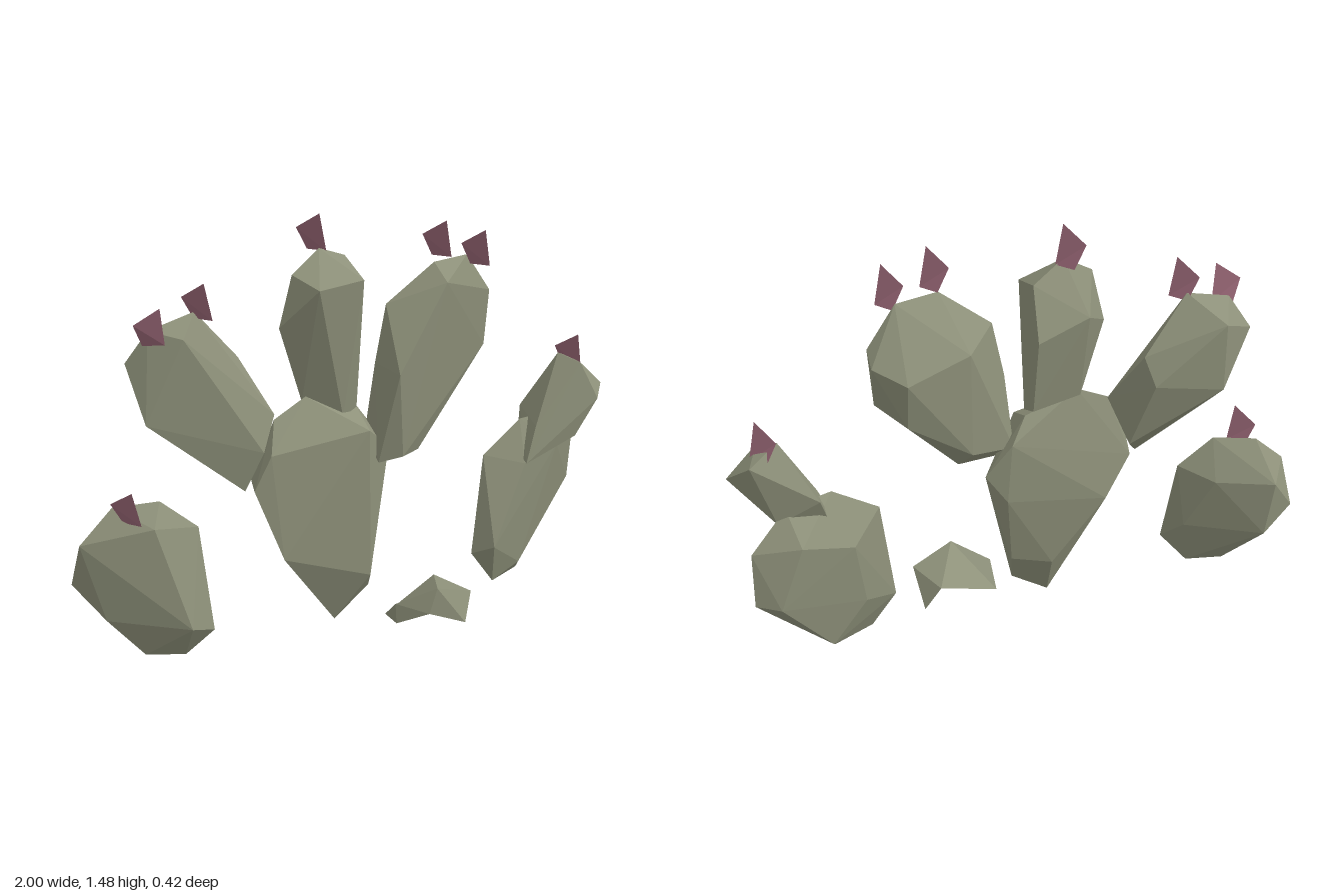
import * as THREE from 'three';
import { ConvexGeometry } from 'three/addons/geometries/ConvexGeometry.js';

const padGreen = new THREE.MeshStandardMaterial({ color: 0x8e917a, flatShading: true, side: THREE.DoubleSide });
padGreen.name = 'dusty green';
const flowerPink = new THREE.MeshStandardMaterial({ color: 0x9a6877, flatShading: true, side: THREE.DoubleSide });
flowerPink.name = 'dusty pink';

// Faceted cactus pad: the hull of a few corner points
function pad(name, points) {
  const mesh = new THREE.Mesh(new ConvexGeometry(points.map((p) => new THREE.Vector3(...p))), padGreen);
  mesh.name = name;
  return mesh;
}

// Thin open sheet from corners and triangles
function sheet(name, corners, faces, material) {
  const indexed = new THREE.BufferGeometry();
  indexed.setAttribute('position', new THREE.Float32BufferAttribute(corners.flat(), 3));
  indexed.setIndex(faces.flat());
  const geometry = indexed.toNonIndexed();
  geometry.computeVertexNormals();
  const mesh = new THREE.Mesh(geometry, material);
  mesh.name = name;
  return mesh;
}

// Pointed, slightly bent petal rising from its base corner
function flower(name, x, y, z, turn = 0, size = 1) {
  const mesh = sheet(name,
    [[0, 0, 0], [-0.045, 0, -0.055], [-0.085, 0.077, -0.05], [-0.03, 0.13, 0.015]],
    [[0, 2, 1], [0, 3, 2]], flowerPink);
  mesh.position.set(x, y, z);
  mesh.rotation.y = turn;
  mesh.scale.setScalar(size);
  return mesh;
}

export function createModel() {
  const cactus = new THREE.Group();
  cactus.name = 'cactus';

  // Trunk pad, flat in front and tapering to the ground
  cactus.add(pad('trunkPad', [
    [-0.41, 0.58, 0.03], [-0.35, 0.7, 0.04], [0, 0.74, 0.065], [0.005, 0.19, 0.06], [-0.32, 0.32, 0.06],
    [-0.31, 0.8, -0.03], [-0.19, 0.86, -0.04], [0, 0.8, -0.06], [0.06, 0.72, -0.11], [0.15, 0.6, -0.09],
    [-0.38, 0.58, -0.08], [-0.28, 0.44, -0.12], [0.08, 0.5, -0.12], [-0.09, 0.185, -0.1],
    [0.055, 0.22, -0.08], [0.04, 0.1, -0.03], [-0.1, 0, -0.02],
  ]));

  // Three pads growing from the trunk
  cactus.add(pad('upperRightPad', [
    [-0.71, 1.15, -0.08], [-0.55, 1.19, -0.09], [-0.61, 1.12, -0.03], [-0.39, 1, -0.14], [-0.3, 0.81, -0.05],
    [-0.36, 0.7, 0], [-0.42, 0.56, -0.03], [-0.74, 0.84, -0.06], [-0.78, 1.04, -0.12],
    [-0.66, 1.1, -0.19], [-0.66, 0.86, -0.2], [-0.42, 0.9, -0.18], [-0.36, 0.65, -0.12],
  ]));
  cactus.add(pad('middlePad', [
    [-0.18, 1.25, 0.065], [-0.01, 1.26, 0.04], [-0.24, 1.29, -0.02], [-0.13, 1.36, -0.05], [-0.01, 1.31, -0.11],
    [-0.28, 1.11, -0.04], [-0.01, 1.13, -0.17], [-0.2, 1.17, -0.12], [-0.01, 0.85, -0.12],
    [-0.2, 0.84, -0.05], [-0.07, 0.78, 0], [-0.01, 0.8, -0.02],
  ]));
  cactus.add(pad('upperLeftPad', [
    [0.27, 1.28, 0], [0.42, 1.28, -0.04], [0.52, 1.14, -0.05], [0.52, 1.1, -0.11], [0.51, 0.94, -0.06],
    [0.22, 0.61, 0], [0.05, 0.6, 0.03], [0.04, 0.68, -0.06], [0.06, 0.95, -0.02], [0.1, 1.15, -0.02],
    [0.1, 0.93, 0.09], [0.29, 1.22, 0.06], [0.13, 0.62, 0.06],
    [0.42, 1.05, -0.17], [0.2, 1.1, -0.12], [0.2, 0.72, -0.12], [0.42, 0.88, -0.14],
  ]));

  // Separate pad on the right, turned back at its outer end
  cactus.add(pad('lowerRightPad', [
    [-0.98, 0.45, -0.09], [-0.86, 0.56, -0.1], [-0.71, 0.57, -0.06], [-0.587, 0.46, -0.04], [-0.57, 0.1, 0.03],
    [-0.66, 0, -0.02], [-0.79, 0.01, -0.06], [-0.91, 0.16, -0.08], [-1, 0.28, -0.16],
    [-0.75, 0.5, 0], [-0.66, 0.14, 0.07], [-0.9, 0.42, -0.21], [-0.88, 0.2, -0.2],
    [-0.7, 0.42, -0.13], [-0.62, 0.2, -0.06],
  ]));

  // Separate pad on the left with a smaller one on top
  cactus.add(pad('lowerLeftPad', [
    [0.51, 0.52, -0.035], [0.67, 0.63, -0.05], [0.83, 0.62, -0.09], [0.96, 0.49, -0.13], [0.97, 0.3, -0.16],
    [0.7, 0, -0.08], [0.56, 0, -0.02], [0.47, 0.13, -0.03], [0.53, 0.17, 0.035], [0.67, 0.47, 0],
    [0.84, 0.5, -0.05], [0.89, 0.3, -0.21], [0.59, 0.2, -0.12], [0.62, 0.45, -0.14], [0.8, 0.52, -0.19],
    [0.72, 0.05, -0.14], [0.68, 0.05, -0.03],
  ]));
  cactus.add(pad('smallLeftPad', [
    [0.83, 0.86, -0.06], [0.89, 0.83, 0], [0.93, 0.81, -0.11], [1, 0.73, -0.02], [0.94, 0.7, 0.05],
    [0.86, 0.56, 0.035], [0.66, 0.48, 0.025], [0.71, 0.61, 0], [0.72, 0.65, -0.13],
    [0.86, 0.57, -0.1], [0.68, 0.5, -0.08],
  ]));

  // Arched, hollow fragment on the ground
  cactus.add(sheet('groundFragment', [
    [0.21, 0.145, 0.18], [0.08, 0.08, 0.11], [0.085, 0, 0.11], [0.18, 0.05, 0.18], [0.31, 0, 0.21],
    [0.36, 0, 0], [0.365, 0.085, 0.15], [0.3, 0.09, -0.01], [0.08, 0, 0.03],
  ], [
    [1, 2, 3], [0, 1, 3], [0, 3, 4], [0, 4, 6], [6, 4, 5],
    [0, 6, 7], [6, 5, 7], [0, 7, 8], [0, 8, 1], [1, 8, 2],
  ], padGreen));

  // Flowers on the pad tips
  cactus.add(
    flower('middleFlower', -0.1, 1.345, -0.058),
    flower('upperRightInnerFlower', -0.505, 1.165, -0.045),
    flower('upperRightOuterFlower', -0.67, 1.11, -0.035, 0.5),
    flower('upperLeftInnerFlower', 0.325, 1.295, 0.02),
    flower('upperLeftOuterFlower', 0.47, 1.25, 0.03),
    flower('lowerRightFlower', -0.79, 0.515, -0.01),
    flower('smallLeftFlower', 0.92, 0.8, -0.04),
  );
  return cactus;
}
